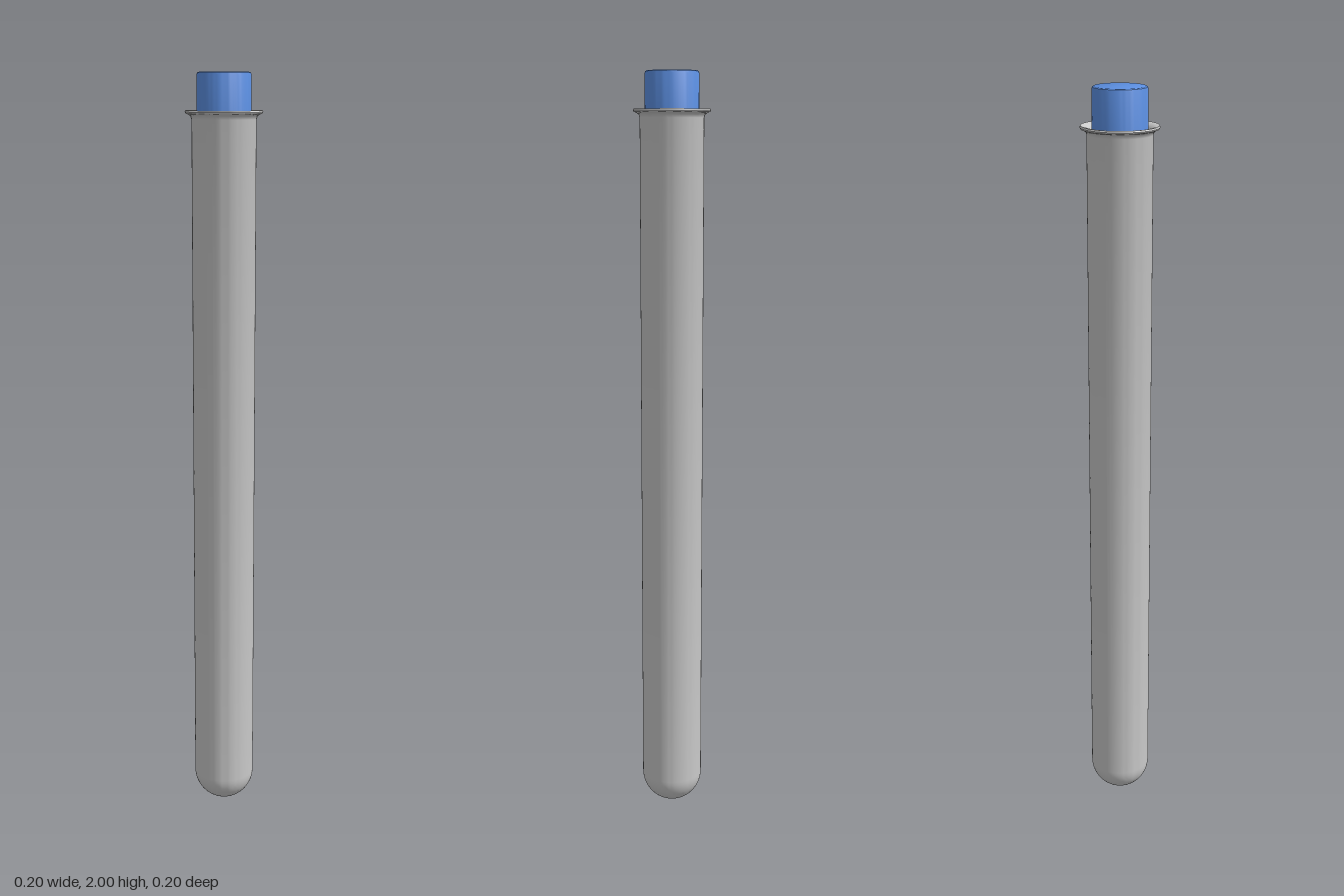
import * as THREE from 'three';
import { toCreasedNormals } from 'three/addons/utils/BufferGeometryUtils.js';

const SIDES = 64;

// Revolve a profile of [radius, height] pairs, keeping sharp edges sharp
function turned(name, profile, color) {
  const points = profile.map(([r, y]) => new THREE.Vector2(r, y));
  const geometry = toCreasedNormals(new THREE.LatheGeometry(points, SIDES), 0.7);
  const mesh = new THREE.Mesh(geometry, new THREE.MeshStandardMaterial({ color }));
  mesh.name = name;
  return mesh;
}

// Quarter circle from the bottom pole up to the wall
function roundBottom(radius, centreY, steps = 14) {
  return Array.from({ length: steps + 1 }, (_, i) => {
    const a = (i / steps) * Math.PI / 2;
    return [radius * Math.sin(a), centreY - radius * Math.cos(a)];
  });
}

export function createModel() {
  const group = new THREE.Group();
  group.name = 'stopperedTube';
  const outer = 0.082, inner = 0.071;

  // Hollow glass tube: round bottom, outer wall, flared lip, inner wall
  group.add(turned('glassTube', [
    ...roundBottom(outer, outer),
    [outer, 1.885], [0.085, 1.893], [0.091, 1.897],
    [0.097, 1.899], [0.099, 1.903], [0.097, 1.907],
    [0.089, 1.906], [0.081, 1.902], [0.075, 1.895], [inner, 1.885],
    ...roundBottom(inner, outer).reverse(),
  ], 0xcccccc));

  // Stopper pushed into the mouth, with a softened top edge
  group.add(turned('stopper', [
    [0, 1.8], [0.069, 1.8], [0.069, 1.993],
    [0.0675, 1.998], [0.064, 2], [0, 2],
  ], 0x5b8ee0));

  return group;
}
